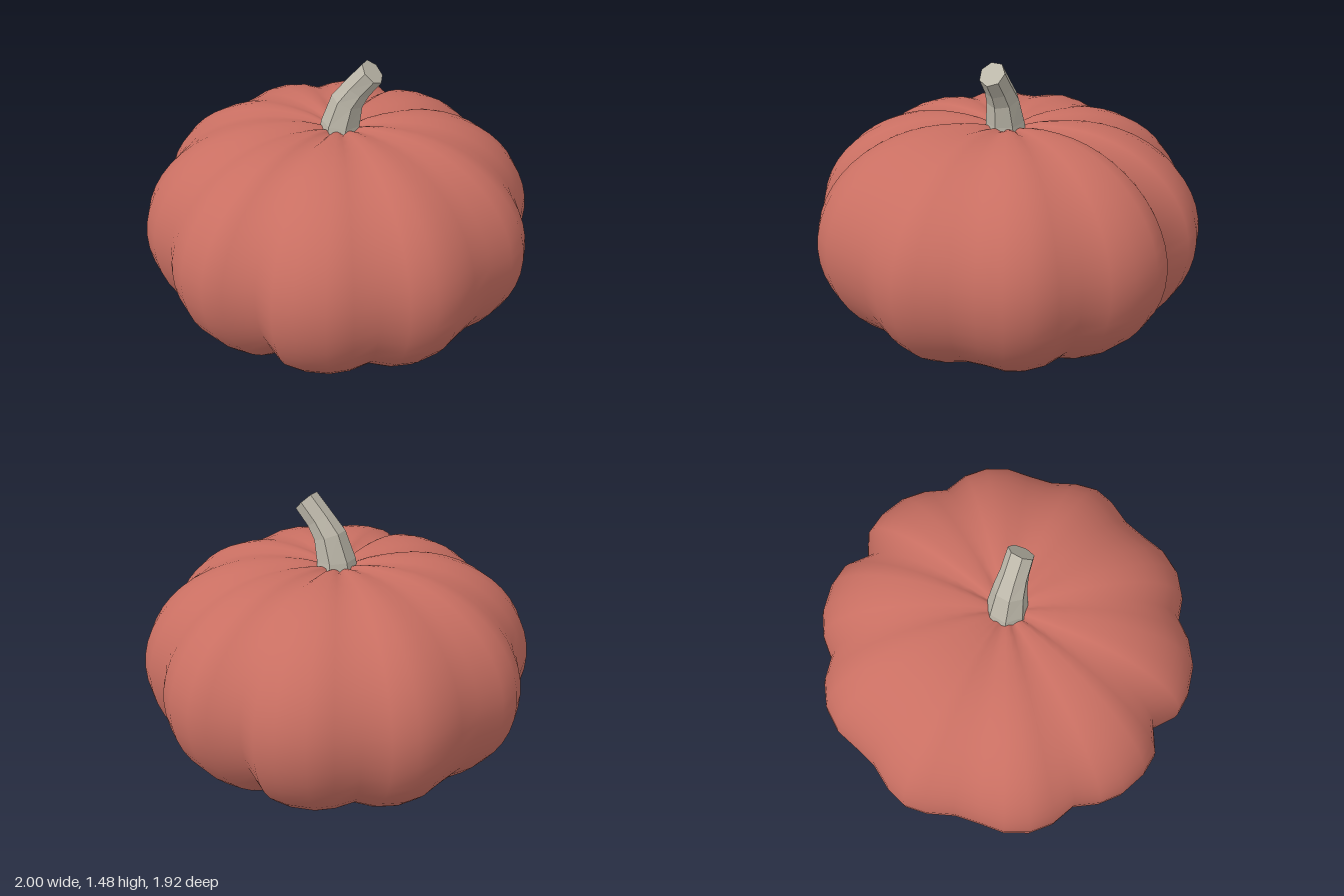
import * as THREE from 'three';

const skin = new THREE.MeshStandardMaterial({ color: 0xc96f62 });
skin.name = 'dusty red skin';
const bark = new THREE.MeshStandardMaterial({ color: 0xbdb8aa });
bark.name = 'pale grey stem';

// Skin a stack of equally long closed rings, listed from bottom to top
function loft(rings, capEnds) {
  const n = rings[0].length;
  const index = [];
  for (let i = 0; i < rings.length - 1; i++) {
    for (let j = 0; j < n; j++) {
      const a = i * n + j, b = i * n + (j + 1) % n;
      index.push(a, b, b + n, a, b + n, a + n);
    }
  }
  if (capEnds) {
    const top = (rings.length - 1) * n;
    for (let j = 1; j < n - 1; j++) {
      index.push(top, top + j, top + j + 1, 0, j + 1, j);
    }
  }
  const geometry = new THREE.BufferGeometry().setFromPoints(rings.flat());
  geometry.setIndex(index);
  return geometry;
}

// Ribbed waist outline: one quarter as [x, z], mirrored all the way round
function ribOutline() {
  const quarter = [
    [0, 0.88], [0.13, 0.962], [0.24, 0.96], [0.38, 0.915], [0.48, 0.84],
    [0.56, 0.735], [0.69, 0.69], [0.79, 0.61], [0.855, 0.5], [0.88, 0.37],
    [0.91, 0.24], [0.975, 0.11], [1, 0],
  ];
  const half = [...quarter, ...quarter.slice(0, -1).reverse().map(([x, z]) => [x, -z])];
  return [...half, ...half.slice(1, -1).reverse().map(([x, z]) => [-x, z])];
}

// Squashed side profile as [radius, height], dimpled at both poles
function sideProfile() {
  const profile = [[0, 0.04], [0.05, 0.02], [0.12, 0.006], [0.2, 0.001]];
  const steps = 24;
  for (let i = 0; i <= steps; i++) {
    const t = (i / steps - 0.5) * Math.PI;
    const upper = t > 0;
    const inner = upper ? 0.33 : 0.28;
    profile.push([
      inner + (1 - inner) * Math.cos(t),
      0.6 + (upper ? 0.56 : 0.6) * Math.sin(t),
    ]);
  }
  return [...profile, [0.24, 1.158], [0.16, 1.15], [0.1, 1.135], [0.05, 1.115], [0, 1.09]];
}

function makeBody() {
  const outline = ribOutline();
  const rings = sideProfile().map(([radius, y]) => outline.map(([x, z]) => {
    // Grooves also sink into the top and the underside
    const sink = 0.5 * (1 - Math.hypot(x, z)) * Math.min(1, radius / 0.1);
    return new THREE.Vector3(x * radius, 0.6 + (y - 0.6) * (1 - sink), z * radius);
  }));
  const geometry = loft(rings, false);
  geometry.computeVertexNormals();
  const mesh = new THREE.Mesh(geometry, skin);
  mesh.name = 'ribbedBody';
  return mesh;
}

function makeStem() {
  const sides = 7;
  // Centre x, y, z, radius and lean in degrees of each section
  const sections = [
    [0.005, 1.07, 0, 0.108, 0],
    [0.012, 1.15, 0, 0.1, 5],
    [0.045, 1.272, -0.005, 0.083, 20],
    [0.095, 1.345, -0.011, 0.071, 33],
    [0.169, 1.434, -0.02, 0.068, 46],
  ];
  const rings = sections.map(([cx, cy, cz, r, lean]) => {
    const tilt = THREE.MathUtils.degToRad(lean);
    return Array.from({ length: sides }, (_, j) => {
      const a = (j / sides) * Math.PI * 2;
      const u = r * Math.cos(a);
      return new THREE.Vector3(
        cx + u * Math.cos(tilt), cy - u * Math.sin(tilt), cz - r * Math.sin(a));
    });
  });
  // Separate the faces so every facet stays flat
  const geometry = loft(rings, true).toNonIndexed();
  geometry.computeVertexNormals();
  const mesh = new THREE.Mesh(geometry, bark);
  mesh.name = 'stem';
  return mesh;
}

export function createModel() {
  const group = new THREE.Group();
  group.name = 'pumpkin';
  group.add(makeBody(), makeStem());
  return group;
}
